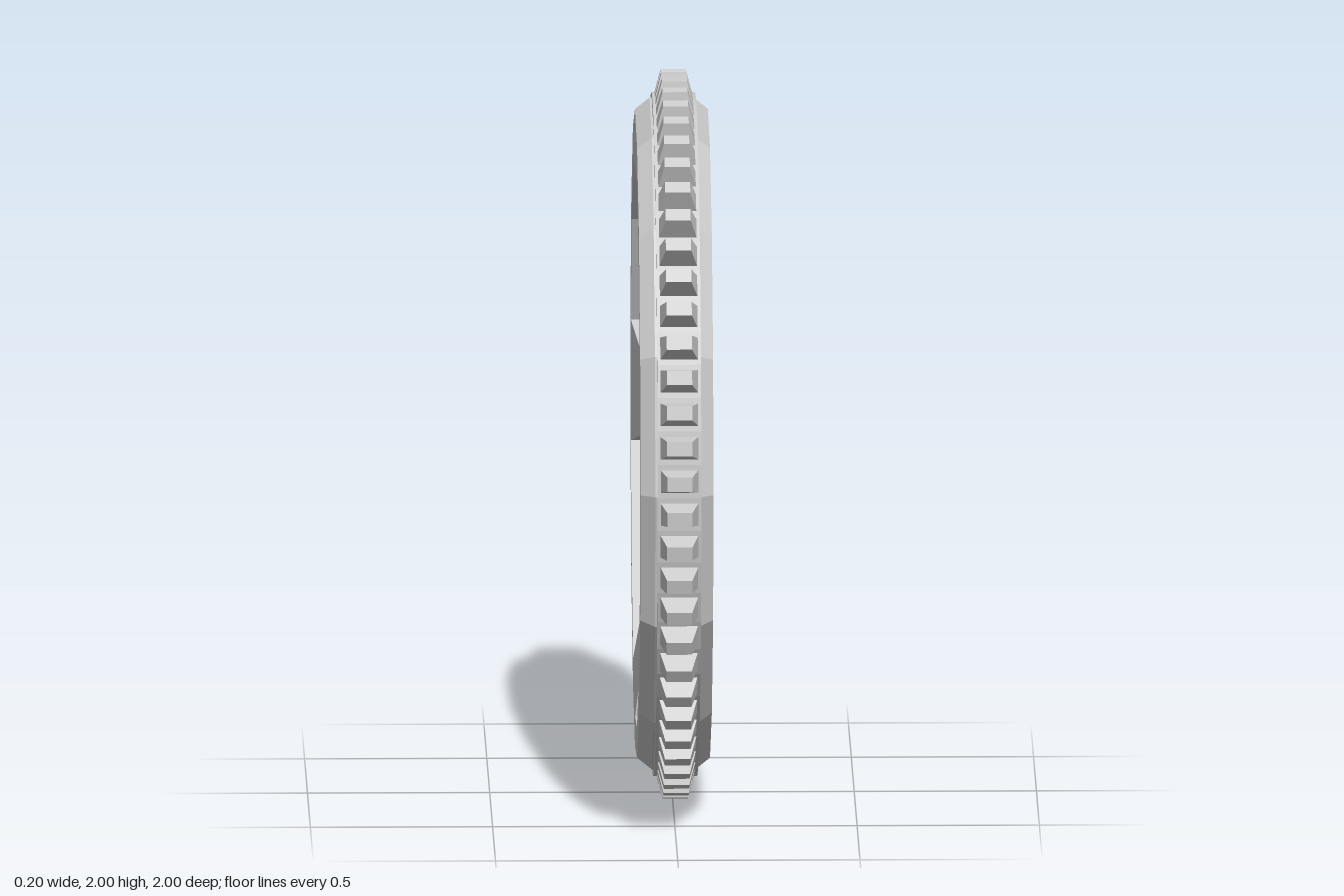
import * as THREE from 'three';
import { mergeGeometries } from 'three/addons/utils/BufferGeometryUtils.js';

const TEETH = 64, SIDES = 15, SPOKES = 5;
const RIM_HALF = 0.1, HUB_HALF = 0.04; // half thickness at the rim and at the hub
const TOOTH_X = 0.006; // teeth sit a touch off the middle plane

const polar = (r, deg) => new THREE.Vector2(
  r * Math.cos(THREE.MathUtils.degToRad(deg)), r * Math.sin(THREE.MathUtils.degToRad(deg)));

// Corners of the fifteen-sided rim at a radius
const rimCorners = r => Array.from({ length: SIDES }, (_, i) => polar(r, 12 + i * 360 / SIDES));

// Pentagon corners, each clipped by an angle either side
const hubCorners = (r, clip) => Array.from({ length: SPOKES }, (_, i) => i * 360 / SPOKES)
  .flatMap(a => [polar(r, a - clip), polar(r, a + clip)]);

// Flat plate centred on x = 0, facing along x
function plate(outline, half, hole) {
  const shape = new THREE.Shape(outline);
  if (hole) shape.holes.push(new THREE.Path(hole));
  const geo = new THREE.ExtrudeGeometry(shape, { depth: 2 * half, bevelEnabled: false });
  return geo.translate(0, 0, -half).rotateY(Math.PI / 2);
}

// Revolved band around the x axis, profile points are [radius, x]
function band(profile, sides) {
  const geo = new THREE.LatheGeometry(profile.map(p => new THREE.Vector2(...p)), sides);
  return geo.rotateZ(-Math.PI / 2);
}

// Spoke that widens and thickens from the hub to the rim
function spokeGeometry() {
  const geo = plate([polar(0.325, -7.5), polar(0.81, -12), polar(0.81, 12), polar(0.325, 7.5)], RIM_HALF);
  const p = geo.attributes.position;
  for (let i = 0; i < p.count; i++) {
    if (Math.hypot(p.getY(i), p.getZ(i)) < 0.5) p.setX(i, Math.sign(p.getX(i)) * HUB_HALF);
  }
  return geo;
}

// One tooth: a box narrowed towards its tip
function toothGeometry() {
  const root = 0.92, tip = 1;
  const geo = new THREE.BoxGeometry(0.112, tip - root, 0.068);
  const p = geo.attributes.position;
  for (let i = 0; i < p.count; i++) {
    if (p.getY(i) > 0) p.setXYZ(i, p.getX(i) * 0.62, p.getY(i), p.getZ(i) * 0.58);
  }
  return geo.translate(TOOTH_X, (root + tip) / 2, 0);
}

// Copies of a geometry spread evenly around the x axis
function ring(geo, count, offset) {
  return mergeGeometries(Array.from({ length: count },
    (_, i) => geo.clone().rotateX((i + offset) * 2 * Math.PI / count)));
}

export function createModel() {
  const model = new THREE.Group();
  model.name = 'gearWheel';
  const material = new THREE.MeshStandardMaterial({ color: 0xcccccc, flatShading: true });
  const add = (name, geo) => {
    const mesh = new THREE.Mesh(geo, material);
    mesh.name = name;
    mesh.position.y = 1;
    model.add(mesh);
  };

  // Thin hub with its clipped pentagonal bore
  add('hub', plate(hubCorners(0.325, 7.5), HUB_HALF, hubCorners(0.256, 7)));
  add('spokes', ring(spokeGeometry(), SPOKES, 0));

  // Thick rim with a chamfered outside
  add('rim', plate(rimCorners(0.895), RIM_HALF, rimCorners(0.81)));
  add('rimChamfer', band(
    [[0.895, -RIM_HALF], [0.927, -0.06], [0.927, 0.06], [0.895, RIM_HALF]], SIDES));

  // Round band that carries the teeth
  add('toothBand', band([[0.88, TOOTH_X - 0.06], [0.938, TOOTH_X - 0.06],
    [0.938, TOOTH_X + 0.06], [0.88, TOOTH_X + 0.06]], TEETH));

  // Ring of teeth, with a gap on each axis
  add('teeth', ring(toothGeometry(), TEETH, 0.5));

  return model;
}
